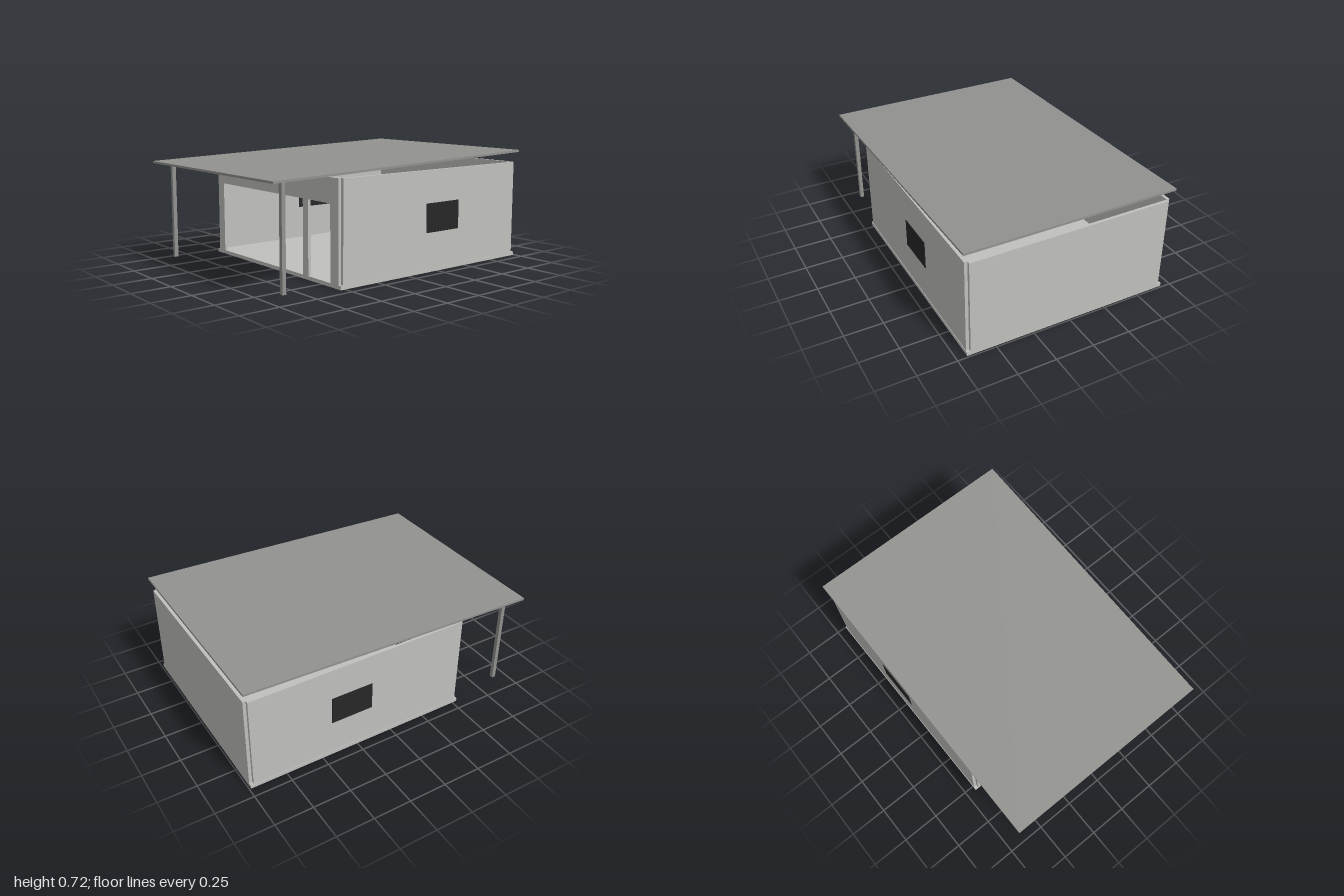
import * as THREE from 'three';

const mat = (name, color) => {
  const m = new THREE.MeshStandardMaterial({ color });
  m.name = name;
  return m;
};

export function createModel() {
  const group = new THREE.Group();
  group.name = 'carportHouse';
  const wall = mat('wallGrey', 0xc0c0bd);
  const roofMat = mat('roofGrey', 0x92928f);
  const glass = mat('darkGlass', 0x272727);

  const add = (name, geometry, material, x, y, z) => {
    const mesh = new THREE.Mesh(geometry, material);
    mesh.name = name;
    mesh.position.set(x, y, z);
    group.add(mesh);
    return mesh;
  };
  const box = (name, material, x0, x1, y0, y1, z0, z1) =>
    add(name, new THREE.BoxGeometry(x1 - x0, y1 - y0, z1 - z0), material,
      (x0 + x1) / 2, (y0 + y1) / 2, (z0 + z1) / 2);

  const floorTop = 0.024, wallTop = 0.643, thick = 0.02;
  const front = 0.532, back = -0.989, inner = 0.662;

  // Floor slab and back wall
  box('floor', wall, -0.685, 0.685, 0, floorTop, back, front);
  box('backWall', wall, -inner, inner, floorTop, wallTop, back, back + thick);

  // Front wall: one outline notched by the wide opening and the doorway
  const outline = new THREE.Shape();
  const lintel = 0.491;
  outline.moveTo(-inner, floorTop);
  for (const [x0, x1] of [[-0.592, 0.322], [0.374, 0.588]]) {
    outline.lineTo(x0, floorTop);
    outline.lineTo(x0, lintel);
    outline.lineTo(x1, lintel);
    outline.lineTo(x1, floorTop);
  }
  outline.lineTo(inner, floorTop);
  outline.lineTo(inner, wallTop);
  outline.lineTo(-inner, wallTop);
  outline.closePath();
  add('frontWall', new THREE.ExtrudeGeometry(outline, { depth: thick, bevelEnabled: false }),
    wall, 0, 0, front - thick);

  // Side walls, windows and porch posts, mirrored
  for (const s of [-1, 1]) {
    const side = s > 0 ? 'left' : 'right';
    const length = front - back - 2 * thick;
    add(side + 'Wall', new THREE.BoxGeometry(thick, wallTop - floorTop, length), wall,
      s * (inner + thick / 2), (wallTop + floorTop) / 2, (front + back) / 2);
    // Window pane passes through the wall and shows on both faces
    add(side + 'Window', new THREE.BoxGeometry(0.027, 0.185, 0.282), glass,
      s * (inner + thick / 2), 0.344, -0.291);
    add(side + 'Post', new THREE.BoxGeometry(0.025, wallTop - floorTop, 0.025), roofMat,
      s * 0.627, (wallTop + floorTop) / 2, 0.892);
  }

  // Thin roof sheet rising towards the back
  const roof = add('roof', new THREE.BoxGeometry(1.4, 0.014, 2), roofMat, 0, 0.688, 0);
  roof.rotation.x = Math.atan(0.03);

  return group;
}
